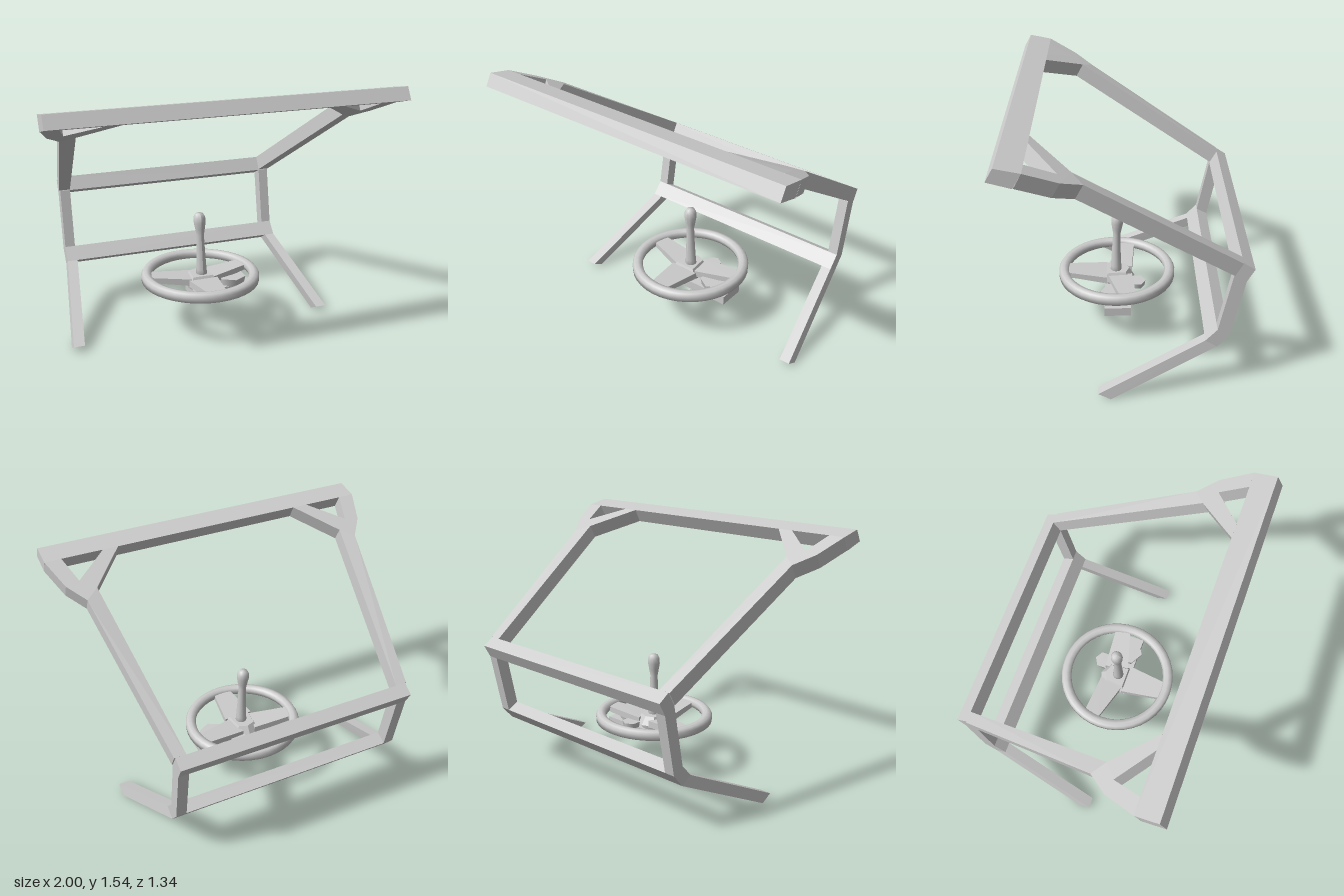
import * as THREE from 'three';
import { ConvexGeometry } from 'three/addons/geometries/ConvexGeometry.js';

const grey = new THREE.MeshStandardMaterial({ color: 0xcccccc });
const V = (x, y, z) => new THREE.Vector3(x, y, z);

export function createModel() {
  const model = new THREE.Group();
  const frame = new THREE.Group();
  frame.name = 'frame';
  const wheel = new THREE.Group();
  wheel.name = 'steeringWheel';
  wheel.position.z = 0.07;
  model.add(frame, wheel);

  const add = (parent, name, geometry, x = 0, y = 0, z = 0) => {
    const mesh = new THREE.Mesh(geometry, grey);
    mesh.name = name;
    mesh.position.set(x, y, z);
    parent.add(mesh);
    return mesh;
  };
  const hull = (parent, name, points) => add(parent, name, new ConvexGeometry(points));

  // Cross bars: a [z, y] section spanning the width
  const crossBar = (name, halfWidth, section) => hull(frame, name,
    section.flatMap(([z, y]) => [V(-halfWidth, y, z), V(halfWidth, y, z)]));
  crossBar('frontCrossBar', 1, [[0.63, 1.54], [0.67, 1.47], [0.545, 1.435], [0.5, 1.513]]);
  crossBar('middleCrossBar', 0.718, [[-0.665, 0.8], [-0.6, 0.842], [-0.555, 0.762], [-0.624, 0.725]]);
  crossBar('lowerCrossBar', 0.718, [[-0.552, 0.37], [-0.485, 0.406], [-0.42, 0.333], [-0.486, 0.292]]);

  // Side members: [inner x, outer x, back z, back y, front z, front y] at each end
  const corners = ([xi, xo, zb, yb, zf, yf]) =>
    [V(xi, yb, zb), V(xo, yb, zb), V(xi, yf, zf), V(xo, yf, zf)];
  const post = [
    [0.656, 0.718, -0.552, 0.37, -0.485, 0.406],
    [0.656, 0.718, -0.624, 0.725, -0.555, 0.762]];
  const leg = [
    [0.656, 0.718, -0.486, 0.292, -0.42, 0.333],
    [0.755, 0.82, 0.107, 0.004, 0.176, 0.042]];

  // Roof plates: [x, z] outline on the bent roof line, given a slanted thickness
  const roofY = z => z < 0.233 ? 1.386 + (z - 0.233) * 0.653 : 1.386 + (z - 0.233) * 0.476;
  const plate = outline => outline.flatMap(([x, z]) =>
    [V(x, roofY(z), z), V(x, roofY(z) - 0.077, z + 0.042)]);
  const plates = {
    roofRail: [[0.656, -0.6], [0.725, -0.6], [0.857, 0.225], [0.78, 0.283]],
    railElbow: [[0.78, 0.283], [0.857, 0.225], [0.94, 0.33], [0.857, 0.347]],
    cornerPiece: [[0.857, 0.347], [0.94, 0.33], [1, 0.5], [0.904, 0.5]],
    diagonalBrace: [[0.78, 0.283], [0.857, 0.347], [0.663, 0.5], [0.572, 0.5]],
  };

  for (const side of [-1, 1]) {
    const mirror = points => points.map(p => V(p.x * side, p.y, p.z));
    const prefix = side > 0 ? 'left ' : 'right ';
    hull(frame, prefix + 'post', mirror(post.flatMap(corners)));
    hull(frame, prefix + 'leg', mirror(leg.flatMap(corners)));
    for (const [name, outline] of Object.entries(plates))
      hull(frame, prefix + name, mirror(plate(outline)));
  }

  // Wheel rim: flat underside, rounded top
  const rim = [[0.33, 0.31], [0.36, 0.315], [0.361, 0.348], [0.35, 0.366], [0.328, 0.372],
    [0.306, 0.365], [0.297, 0.345], [0.304, 0.32], [0.33, 0.31]];
  add(wheel, 'rim', new THREE.LatheGeometry(rim.map(p => new THREE.Vector2(...p)), 40));

  // Spokes: hub end and rim end edges as [x, z]
  const spoke = (name, hubEnd, rimEnd) => hull(wheel, name, [
    ...hubEnd.flatMap(([x, z]) => [V(x, 0.292, z), V(x, 0.335, z)]),
    ...rimEnd.flatMap(([x, z]) => [V(x, 0.32, z), V(x, 0.352, z)])]);
  spoke('frontSpoke', [[-0.09, 0.06], [0.09, 0.06]], [[-0.055, 0.31], [0.055, 0.31]]);
  for (const s of [-1, 1])
    spoke('sideSpoke', [[0.04 * s, -0.095], [0.07 * s, 0.05]], [[0.305 * s, -0.115], [0.31 * s, -0.02]]);
  hull(wheel, 'hubPlate', [[-0.075, -0.08], [0, -0.11], [0.075, -0.08], [0.09, 0.08], [-0.09, 0.08]]
    .flatMap(([x, z]) => [V(x, 0.3, z), V(x * 0.7, 0.35, z * 0.7)]));

  // Gear box and couplings under the hub
  const disc = (name, rTop, rBottom, h, sides, x, y, z) =>
    add(wheel, name, new THREE.CylinderGeometry(rTop, rBottom, h, sides), x, y, z);
  disc('hubCollar', 0.088, 0.075, 0.05, 16, 0, 0.285, 0);
  disc('shaftNut', 0.038, 0.034, 0.04, 12, 0, 0.203, 0);
  disc('largeCoupling', 0.09, 0.08, 0.05, 6, 0.2, 0.285, 0.01);
  disc('smallCoupling', 0.056, 0.05, 0.035, 6, 0.08, 0.292, -0.122);
  add(wheel, 'gearBox', new THREE.BoxGeometry(0.38, 0.055, 0.16), 0.125, 0.238, -0.005);

  // Lever with a swollen knob leaning backwards
  const profile = [[0, 0.33], [0.036, 0.33], [0.032, 0.38], [0.027, 0.48], [0.023, 0.6],
    [0.03, 0.64], [0.037, 0.68], [0.036, 0.71], [0.024, 0.733], [0, 0.735]];
  const lever = new THREE.LatheGeometry(profile.map(p => new THREE.Vector2(...p)), 12);
  const pos = lever.attributes.position;
  for (let i = 0; i < pos.count; i++) {
    const t = (pos.getY(i) - 0.33) / 0.4;
    pos.setX(i, pos.getX(i) + 0.008 - 0.012 * t);
    pos.setZ(i, pos.getZ(i) + 0.004 - 0.012 * t * t);
  }
  lever.computeVertexNormals();
  add(wheel, 'lever', lever);

  return model;
}
